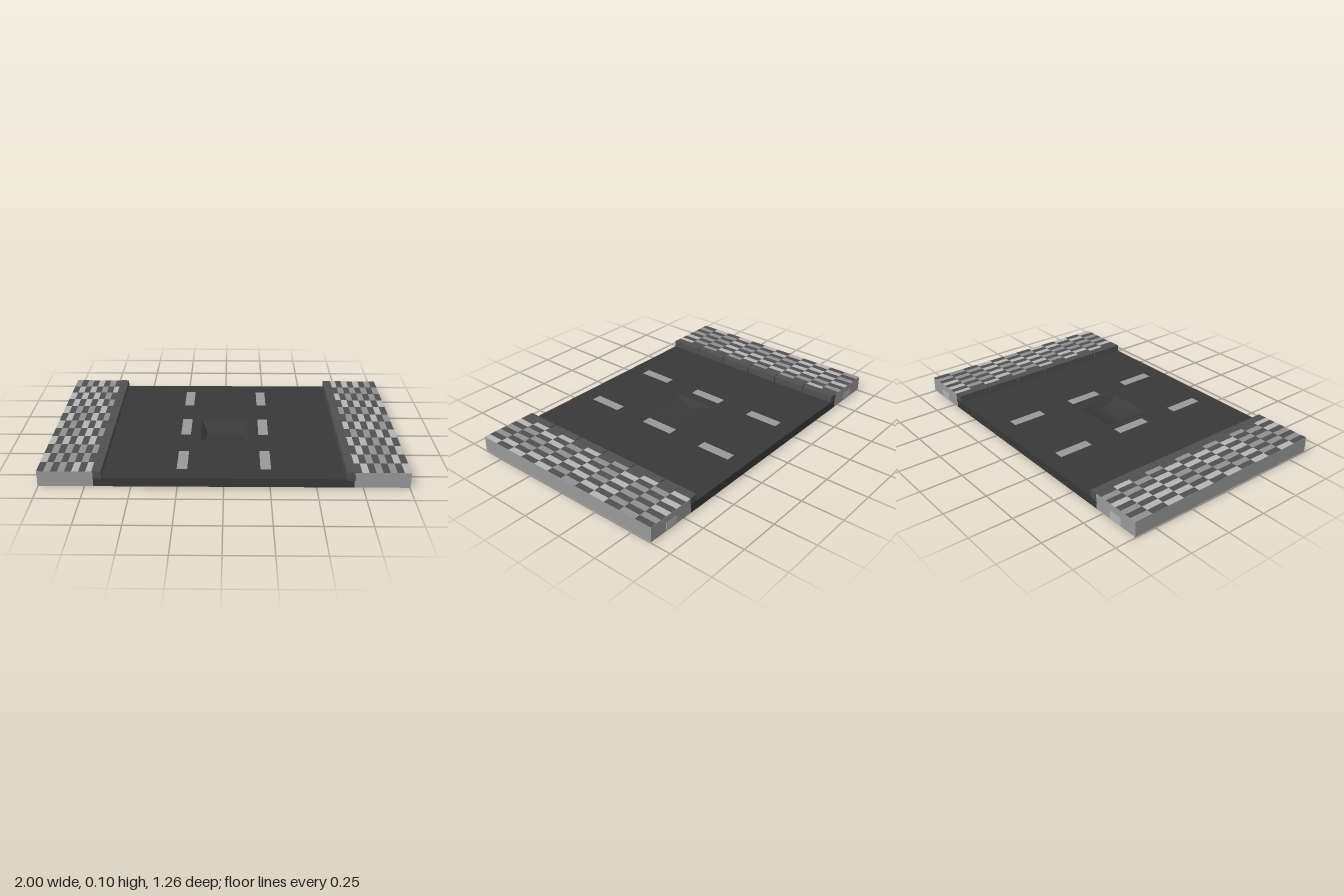
import * as THREE from 'three';
import { mergeGeometries } from 'three/addons/utils/BufferGeometryUtils.js';

const HALF_Z = 0.63, BASE = 0.006, ROAD_TOP = 0.056, WALK_TOP = 0.095;
const mat = (color, extra = {}) => {
  const m = new THREE.MeshStandardMaterial({ color });
  return Object.assign(m, extra);
};
const asphalt = mat(0x383838, { flatShading: true });
const dipMat = mat(0x3a3a3a, { side: THREE.DoubleSide });
const curbMat = mat(0x505050);
const walkMat = mat(0x999999);
const paint = mat(0x999999);
const tileMats = [mat(0x505050), mat(0x909090), mat(0xb4b4b4)];

// Box given by its minimum and maximum corners
function box(name, material, [x0, y0, z0], [x1, y1, z1]) {
  const mesh = new THREE.Mesh(new THREE.BoxGeometry(x1 - x0, y1 - y0, z1 - z0), material);
  mesh.position.set((x0 + x1) / 2, (y0 + y1) / 2, (z0 + z1) / 2);
  mesh.name = name;
  return mesh;
}

// Same, with x measured outward from the road centre on one side
function sideBox(name, material, side, [a, y0, z0], [b, y1, z1]) {
  const xs = [a * side, b * side].sort((p, q) => p - q);
  return box(name, material, [xs[0], y0, z0], [xs[1], y1, z1]);
}

function rect(path, x, z0, z1) {
  path.moveTo(-x, -z1);
  path.lineTo(x, -z1);
  path.lineTo(x, -z0);
  path.lineTo(-x, -z0);
  path.closePath();
  return path;
}

// Scooped hollow: cross-sections along z, sloping sides that lean in with depth
function dipGeometry(halfX, z0, z1, depth) {
  const strips = [[], [], []], n = 16;
  const section = (i) => {
    const t = i / n, d = Math.sin(Math.PI * t);
    const z = z0 + (z1 - z0) * t, inner = halfX - 0.035 * d, y = ROAD_TOP - depth * d;
    return [[-halfX, ROAD_TOP, z], [-inner, y, z], [inner, y, z], [halfX, ROAD_TOP, z]];
  };
  for (let i = 0; i < n; i++) {
    const a = section(i), b = section(i + 1);
    for (let k = 0; k < 3; k++) {
      strips[k].push(...a[k], ...b[k], ...a[k + 1], ...a[k + 1], ...b[k], ...b[k + 1]);
    }
  }
  const g = new THREE.BufferGeometry();
  g.setAttribute('position', new THREE.Float32BufferAttribute(strips.flat(), 3));
  g.computeVertexNormals();
  return g;
}

// Checkered paving: dark tiles alternate with mid or light ones
function paving(side, random) {
  const group = new THREE.Group();
  group.name = 'paving';
  const cols = 8, rows = 12, w = 0.3 / cols, d = (2 * HALF_Z) / rows;
  const sets = [[], [], []];
  for (let r = 0; r < rows; r++) {
    for (let c = 0; c < cols; c++) {
      const pale = random() < 0.5 ? 1 : 2;
      const shade = (r + c) % 2 ? 0 : pale;
      const tile = new THREE.PlaneGeometry(w, d).rotateX(-Math.PI / 2);
      tile.translate(side * 0.85 + (c - (cols - 1) / 2) * w, WALK_TOP + 0.001, -HALF_Z + (r + 0.5) * d);
      sets[shade].push(tile);
    }
  }
  sets.forEach((set, i) => {
    const mesh = new THREE.Mesh(mergeGeometries(set), tileMats[i]);
    mesh.name = ['darkTiles', 'midTiles', 'lightTiles'][i];
    group.add(mesh);
  });
  return group;
}

export function createModel() {
  const model = new THREE.Group();
  model.name = 'roadSection';
  let seed = 7;
  const random = () => (seed = (seed * 16807) % 2147483647) / 2147483647;

  // Roadway with an opening for the dip, closed underneath
  const dip = { x: 0.14, z0: -0.1, z1: 0.18 };
  const shape = rect(new THREE.Shape(), 0.7, -HALF_Z, HALF_Z);
  shape.holes.push(rect(new THREE.Path(), dip.x, dip.z0, dip.z1));
  const roadGeo = new THREE.ExtrudeGeometry(shape, { depth: ROAD_TOP - BASE, bevelEnabled: false });
  const road = new THREE.Mesh(roadGeo.rotateX(-Math.PI / 2).translate(0, BASE, 0), asphalt);
  road.name = 'road';
  const hollow = new THREE.Mesh(dipGeometry(dip.x, dip.z0, dip.z1, 0.035), dipMat);
  hollow.name = 'roadDip';
  model.add(road, hollow);
  model.add(box('roadUnderside', asphalt, [-0.145, BASE, -0.105], [0.145, BASE + 0.004, 0.185]));

  for (const side of [-1, 1]) {
    // Pavement slab and its tiles
    model.add(sideBox('sidewalk', walkMat, side, [0.7, BASE, -HALF_Z], [1, WALK_TOP, HALF_Z]));
    model.add(paving(side, random));

    // Six kerb stones with narrow joints
    const step = (2 * HALF_Z) / 6;
    for (let i = 0; i < 6; i++) {
      const z0 = -HALF_Z + i * step + (i > 0 ? 0.003 : 0);
      const z1 = -HALF_Z + (i + 1) * step - (i < 5 ? 0.003 : 0);
      model.add(sideBox('curbStone', curbMat, side, [0.655, ROAD_TOP - 0.01, z0], [0.705, WALK_TOP + 0.002, z1]));
    }

    // Lane dashes
    for (const z of [-0.42, 0, 0.42]) {
      model.add(sideBox('laneDash', paint, side, [0.2, ROAD_TOP - 0.004, z - 0.105], [0.258, ROAD_TOP + 0.001, z + 0.105]));
    }

    // Small plates under the slab and at its back end
    const [px, pz] = side > 0 ? [0.75, 0.4] : [0.84, 0.34];
    model.add(sideBox('undersidePlate', walkMat, side, [px - 0.02, 0, pz - 0.1], [px + 0.02, BASE + 0.002, pz + 0.1]));
    model.add(sideBox('endPlate', tileMats[2], side, [0.81, BASE - 0.001, -HALF_Z - 0.001], [0.89, 0.055, -0.5]));
  }
  return model;
}
